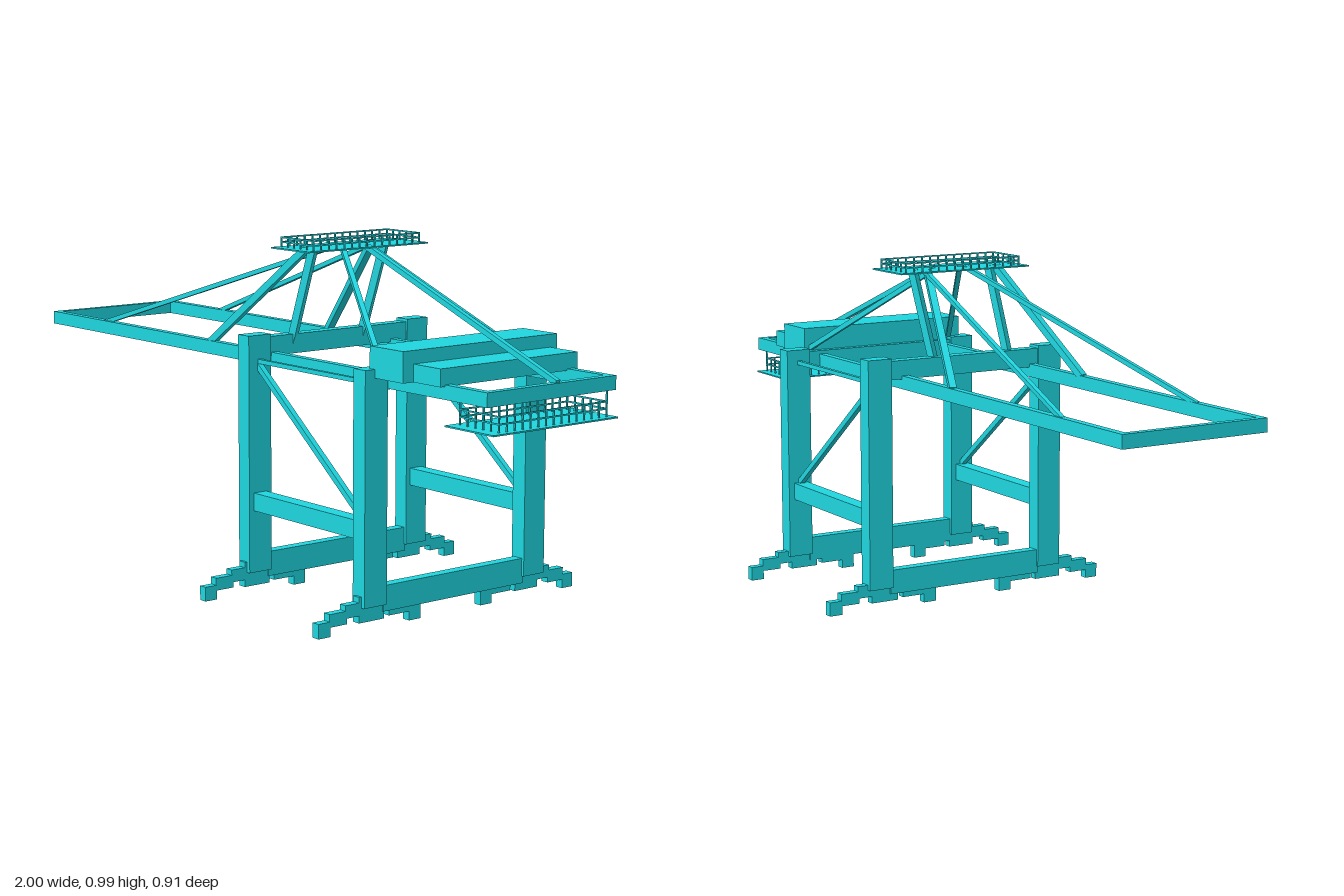
import * as THREE from 'three';

const paint = new THREE.MeshStandardMaterial({ color: 0x1fd6e0, flatShading: true });

export function createModel() {
  const crane = new THREE.Group();
  crane.name = 'harbourCrane';

  // Box given by its low and high limits on each axis
  const box = (name, x0, x1, y0, y1, z0, z1, parent = crane) => {
    const m = new THREE.Mesh(new THREE.BoxGeometry(x1 - x0, y1 - y0, z1 - z0), paint);
    m.position.set((x0 + x1) / 2, (y0 + y1) / 2, (z0 + z1) / 2);
    m.name = name;
    parent.add(m);
    return m;
  };

  // Square bar running between two points
  const bar = (name, a, b, t, parent = crane) => {
    const p = new THREE.Vector3(...a), q = new THREE.Vector3(...b);
    const m = new THREE.Mesh(new THREE.BoxGeometry(t, t, p.distanceTo(q)), paint);
    m.position.copy(p).add(q).multiplyScalar(0.5);
    m.lookAt(q);
    m.name = name;
    parent.add(m);
  };

  // Guard rail round a rectangle: posts with a middle and a top rail
  const guardRail = (name, x0, x1, y, h, z0, z1, nx, nz) => {
    const g = new THREE.Group();
    g.name = name;
    const t = 0.004;
    for (const f of [0.55, 1]) {
      const r = y + h * f - t / 2;
      for (const z of [z0, z1]) bar('rail', [x0, r, z], [x1, r, z], t, g);
      for (const x of [x0, x1]) bar('rail', [x, r, z0], [x, r, z1], t, g);
    }
    const post = (x, z) => box('post', x - t / 2, x + t / 2, y, y + h, z - t / 2, z + t / 2, g);
    for (let i = 0; i <= nx; i++) for (const z of [z0, z1]) post(x0 + (x1 - x0) * i / nx, z);
    for (let i = 1; i < nz; i++) for (const x of [x0, x1]) post(x, z0 + (z1 - z0) * i / nz);
    crane.add(g);
  };

  // Portal frames: legs, sill beam, top beam and stepped bogies
  const bogieSteps = [ // z from, z to, y from, y to
    [0.235, 0.32, 0.02, 0.09], [0.31, 0.365, 0.04, 0.075], [0.36, 0.418, 0.025, 0.06],
    [0.416, 0.455, 0, 0.04], [0.14, 0.218, 0.025, 0.045], [0.108, 0.148, 0, 0.042],
  ];
  for (const [x, top, beamLow] of [[0.098, 0.722, 0.66], [0.595, 0.688, 0.63]]) {
    const frame = new THREE.Group();
    frame.name = 'portalFrame';
    crane.add(frame);
    box('leg', x - 0.024, x + 0.024, 0.06, top, 0.236, 0.312, frame);
    box('leg', x - 0.024, x + 0.024, 0.06, top, -0.332, -0.256, frame);
    box('sillBeam', x - 0.016, x + 0.016, 0.04, 0.11, -0.26, 0.24, frame);
    box('topBeam', x - 0.018, x + 0.018, beamLow, top - 0.008, -0.26, 0.24, frame);
    for (const [z0, z1, y0, y1] of bogieSteps) {
      box('bogie', x - 0.012, x + 0.012, y0, y1, z0, z1, frame);
      box('bogie', x - 0.012, x + 0.012, y0, y1, -z1, -z0, frame);
    }
  }

  // Side bracing between the frames
  for (const z of [0.275, -0.292]) {
    box('portalBeam', 0.11, 0.58, 0.235, 0.285, z - 0.022, z + 0.022);
    bar('diagonalBrace', [0.11, 0.645, z], [0.58, 0.28, z], 0.016);
    bar('upperTie', [0.11, 0.65, z], [0.58, 0.65, z], 0.012);
  }

  // Boom: two long girders closed at both ends
  box('boomGirder', -1, 0.99, 0.632, 0.67, 0.208, 0.23);
  box('boomGirder', -1, 0.99, 0.632, 0.67, -0.22, -0.198);
  box('boomEnd', -1, -0.98, 0.632, 0.67, -0.2, 0.21);
  box('boomEnd', 0.968, 0.99, 0.632, 0.67, -0.2, 0.21);

  // Machinery house on the rear of the boom
  box('machineryHouse', 0.598, 0.73, 0.665, 0.747, -0.26, 0.28);
  box('machineryAnnex', 0.73, 0.833, 0.665, 0.712, -0.235, 0.245);

  // Apex platform
  box('apexPlatform', 0.095, 0.26, 0.953, 0.957, -0.212, 0.215);
  guardRail('apexRail', 0.107, 0.247, 0.957, 0.028, -0.19, 0.187, 5, 14);

  // Mast legs, fore stays and back stays
  bar('mastLeg', [0.163, 0.955, 0.12], [0.1, 0.68, 0.15], 0.021);
  bar('mastLeg', [0.163, 0.955, -0.135], [0.1, 0.68, -0.1], 0.021);
  bar('longForeStay', [0.16, 0.955, 0.04], [-0.72, 0.665, 0.219], 0.013);
  bar('longForeStay', [0.16, 0.955, -0.1], [-0.72, 0.665, -0.209], 0.013);
  bar('shortForeStay', [0.16, 0.955, 0.14], [-0.18, 0.665, 0.219], 0.02);
  bar('shortForeStay', [0.16, 0.955, -0.09], [-0.18, 0.665, -0.209], 0.02);
  bar('backStay', [0.17, 0.955, 0.025], [0.605, 0.685, 0.245], 0.014);
  bar('backStay', [0.17, 0.955, -0.06], [0.605, 0.685, -0.24], 0.014);
  bar('rearStay', [0.23, 0.955, -0.015], [0.985, 0.67, -0.015], 0.015);

  // Service platform hung below the rear of the boom
  box('servicePlatform', 0.818, 1, 0.559, 0.563, -0.22, 0.217);
  guardRail('serviceRail', 0.838, 0.982, 0.563, 0.042, -0.195, 0.182, 5, 14);
  for (const x of [0.838, 0.982]) {
    for (const z of [-0.195, 0.182]) bar('hanger', [x, 0.56, z], [x, 0.64, z], 0.004);
  }
  return crane;
}
